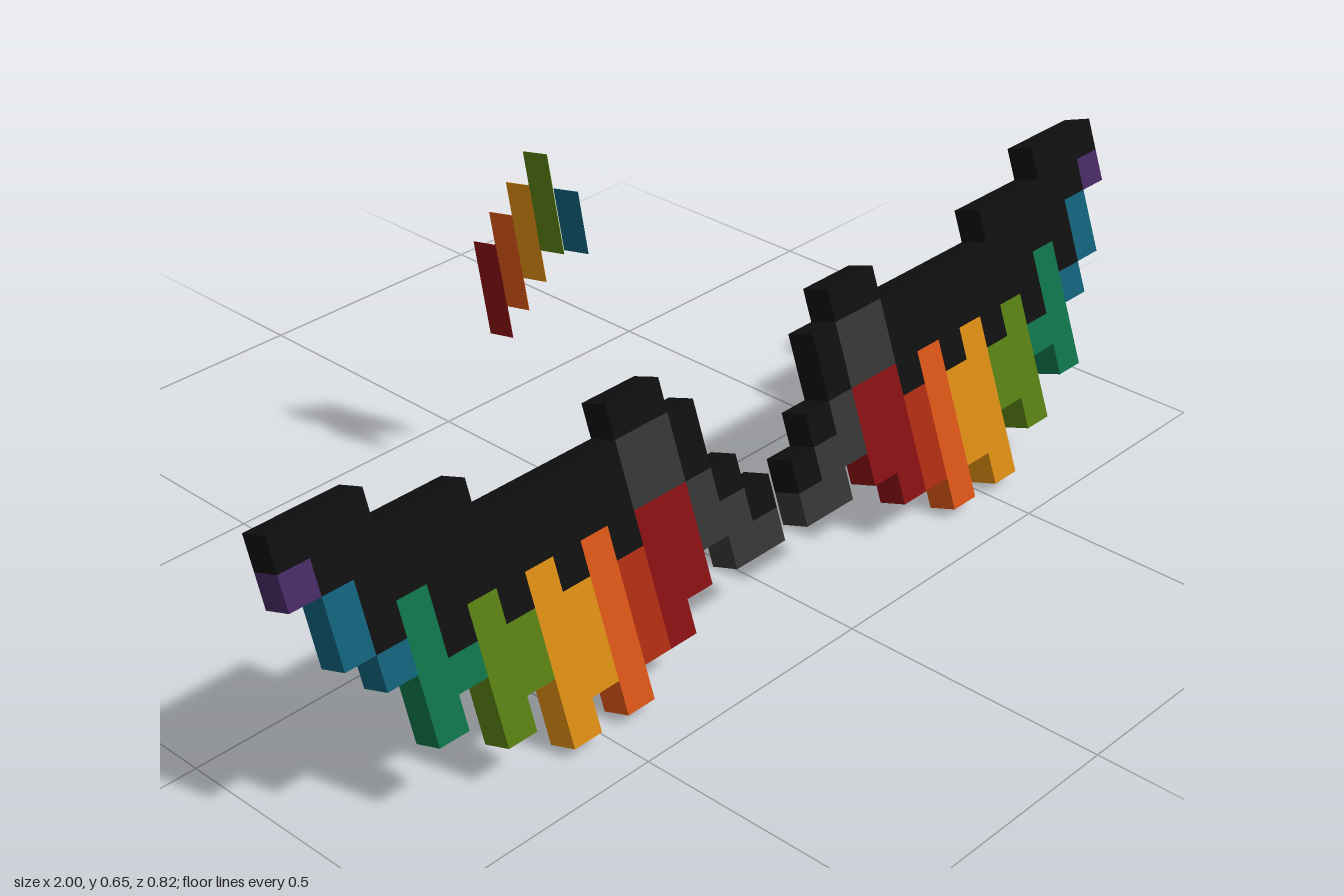
import * as THREE from 'three';

const CELL = 0.0607; // one square of the stepped feather pattern
const DEPTH = 0.057;

const COLORS = {
  black: 0x0f0f0f, grey: 0x333333, red: 0x830f12, vermilion: 0xa82a10, orange: 0xd25215,
  amber: 0xd48711, olive: 0x567c12, green: 0x0f7049, blue: 0x115d75, purple: 0x452860,
};

// Wing columns from the inner edge outward: first row, then [colour, rows] runs going down
const COLUMNS = [
  [5, ['black', 1], ['grey', 1]],
  [4, ['black', 1], ['grey', 2]],
  [2, ['black', 2], ['grey', 2]],
  [1, ['black', 1], ['grey', 2], ['red', 3]],
  [1, ['black', 1], ['grey', 2], ['red', 4]],
  [2, ['black', 3], ['vermilion', 3]],
  [2, ['black', 2], ['orange', 5]],
  [2, ['black', 3], ['amber', 3]],
  [2, ['black', 2], ['amber', 5]],
  [2, ['black', 3], ['olive', 2]],
  [1, ['black', 3], ['olive', 4]],
  [1, ['black', 4], ['green', 1]],
  [1, ['black', 2], ['green', 4]],
  [0, ['black', 4], ['blue', 1]],
  [0, ['black', 2], ['blue', 2]],
  [0, ['black', 1], ['purple', 1]],
];

// Tail feathers: colour, top front corner (z, y), length
const TAIL = [
  ['blue', -0.142, 0.604, 0.114],
  ['olive', -0.217, 0.651, 0.184],
  ['amber', -0.262, 0.577, 0.181],
  ['orange', -0.308, 0.503, 0.181],
  ['red', -0.352, 0.429, 0.18],
];

export function createModel() {
  const model = new THREE.Group();
  model.name = 'featheredWings';
  const mats = {};
  for (const [name, color] of Object.entries(COLORS)) {
    mats[name] = new THREE.MeshStandardMaterial({ color });
    mats[name].name = name;
  }

  // Wings: mirrored slabs leaning back, origin on the front top edge
  for (const side of [1, -1]) {
    const wing = new THREE.Group();
    wing.name = side > 0 ? 'leftWing' : 'rightWing';
    wing.position.set(0, 0.533, 0.226);
    wing.rotation.x = -THREE.MathUtils.degToRad(20);
    COLUMNS.forEach(([start, ...runs], col) => {
      let row = start;
      for (const [color, count] of runs) {
        const box = new THREE.Mesh(new THREE.BoxGeometry(CELL, count * CELL, DEPTH), mats[color]);
        box.name = color === 'black' || color === 'grey' ? 'wingBone' : 'wingFeather';
        box.position.set(side * (1 - (15.5 - col) * CELL), -(row + count / 2) * CELL, -DEPTH / 2);
        wing.add(box);
        row += count;
      }
    });
    model.add(wing);
  }

  // Tail: a flat upright fan of slanted strips on the centre line
  const tail = new THREE.Group();
  tail.name = 'tail';
  for (const [color, z, y, length] of TAIL) {
    const pivot = new THREE.Group();
    pivot.name = 'tailFeather';
    pivot.position.set(0, y, z);
    pivot.rotation.x = -THREE.MathUtils.degToRad(12.3);
    const strip = new THREE.Mesh(new THREE.BoxGeometry(0.001, length, CELL), mats[color]);
    strip.name = 'tailStrip';
    strip.position.set(0, -length / 2, -CELL / 2);
    pivot.add(strip);
    tail.add(pivot);
  }
  model.add(tail);
  return model;
}
